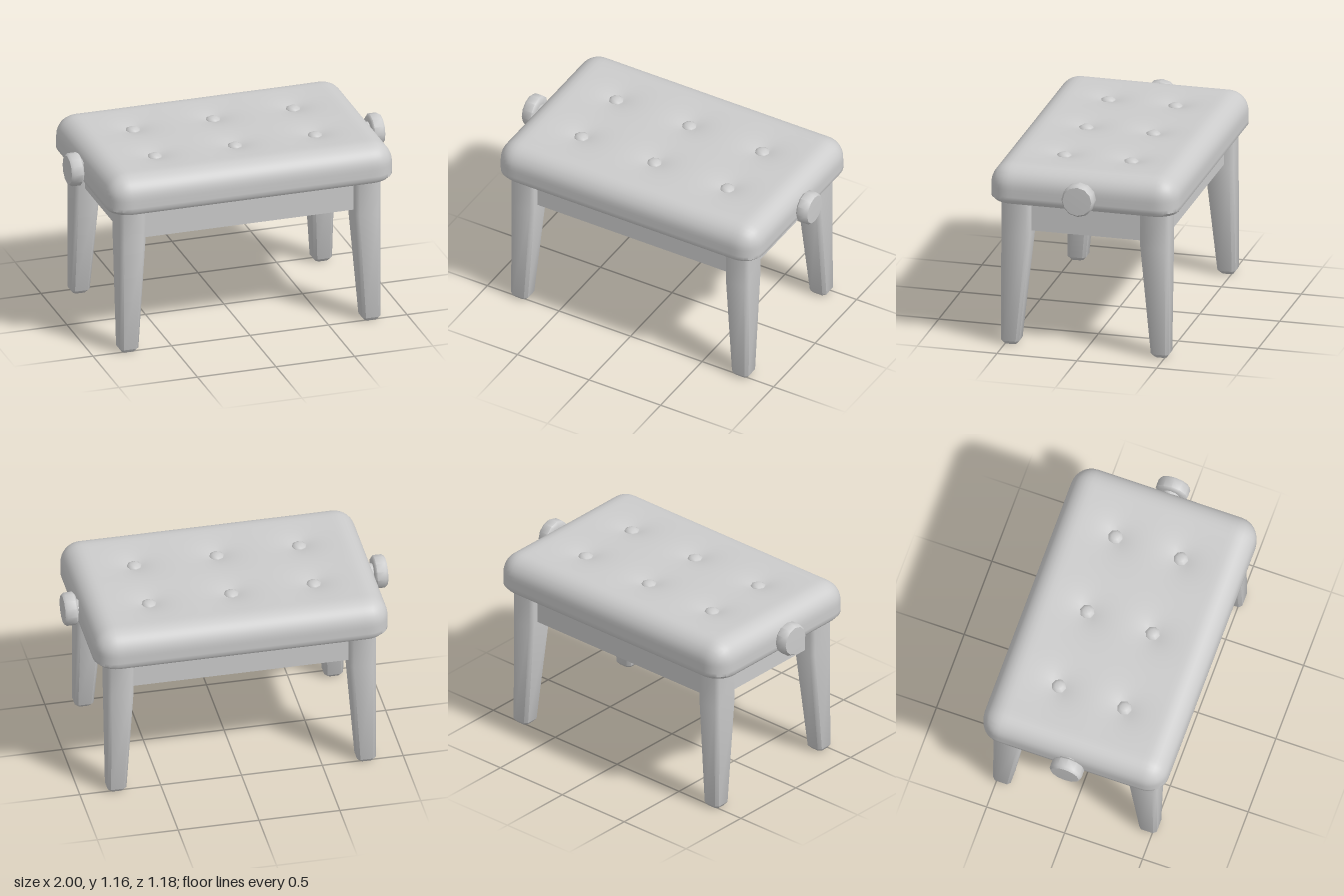
import * as THREE from 'three';
import { mergeVertices, toCreasedNormals } from 'three/addons/utils/BufferGeometryUtils.js';

const material = new THREE.MeshStandardMaterial({ color: 0xcccccc });
const clamp = THREE.MathUtils.clamp;
const TUFTS = [];
for (const x of [-0.51, 0, 0.51]) for (const z of [-0.21, 0.21]) TUFTS.push([x, z]);

function add(group, name, geometry, x = 0, y = 0, z = 0) {
  const mesh = new THREE.Mesh(geometry, material);
  mesh.name = name;
  mesh.position.set(x, y, z);
  group.add(mesh);
  return mesh;
}

// Padded seat: a box whose upper edges and plan corners are rounded, dimpled at each tuft
function cushionGeometry() {
  const hx = 0.91, hz = 0.59, r = 0.13, bottom = 0.93, top = 1.16;
  let geo = new THREE.BoxGeometry(hx * 2, top - bottom, hz * 2, 56, 10, 36);
  geo.translate(0, (top + bottom) / 2, 0);
  geo.deleteAttribute('uv');
  geo.deleteAttribute('normal');
  const p = geo.attributes.position, v = new THREE.Vector3(), core = new THREE.Vector3();
  for (let i = 0; i < p.count; i++) {
    v.fromBufferAttribute(p, i);
    core.set(clamp(v.x, r - hx, hx - r), Math.min(v.y, top - r), clamp(v.z, r - hz, hz - r));
    const d = v.clone().sub(core);
    d.setLength(Math.max(Math.abs(d.x), Math.abs(d.y), Math.abs(d.z)));
    v.copy(core).add(d);
    if (v.y < bottom + 0.01) {
      v.x *= 0.98;
      v.z *= 0.97;
    }
    if (v.y > 1.1) {
      for (const [x, z] of TUFTS) {
        const q = Math.hypot(v.x - x, v.z - z);
        v.y -= 0.045 * Math.exp(-q / 0.09);
      }
    }
    p.setXYZ(i, v.x, v.y, v.z);
  }
  geo = mergeVertices(geo);
  return toCreasedNormals(geo, 0.8);
}

// Chamfered rectangle cross-section
function ring(x0, x1, z0, z1, y, c) {
  return [[x0 + c, z1], [x1 - c, z1], [x1, z1 - c], [x1, z0 + c],
    [x1 - c, z0], [x0 + c, z0], [x0, z0 + c], [x0, z1 - c]].map(([x, z]) => [x, y, z]);
}

// Skin stacked cross-sections from bottom to top and cap both ends
function loft(rings) {
  const n = rings[0].length, index = [];
  for (let j = 0; j < rings.length - 1; j++) {
    for (let i = 0; i < n; i++) {
      const a = j * n + i, b = j * n + (i + 1) % n;
      index.push(a, b, b + n, a, b + n, a + n);
    }
  }
  const last = (rings.length - 1) * n;
  for (let i = 1; i < n - 1; i++) {
    index.push(0, i + 1, i, last, last + i, last + i + 1);
  }
  const geo = new THREE.BufferGeometry();
  geo.setAttribute('position', new THREE.Float32BufferAttribute(rings.flat(2), 3));
  geo.setIndex(index);
  return toCreasedNormals(geo, 0.9);
}

// Leg tapering on its two inner sides, with a bevelled foot
function legGeometry(sx, sz) {
  const section = (innerX, innerZ, y, inset, c) => {
    const xs = [sx * (innerX + inset), sx * (0.83 - inset)].sort((a, b) => a - b);
    const zs = [sz * (innerZ + inset), sz * (0.525 - inset)].sort((a, b) => a - b);
    return ring(...xs, ...zs, y, c);
  };
  return loft([
    section(0.715, 0.415, 0, 0.016, 0.015),
    section(0.713, 0.412, 0.022, 0, 0.018),
    section(0.668, 0.345, 0.7, 0, 0.022),
    section(0.668, 0.345, 0.94, 0, 0.022),
  ]);
}

// Knob and stem turned about the x axis
function knobGeometry(side) {
  const profile = [[0, 0.8], [0.055, 0.8], [0.055, 0.918], [0.088, 0.918], [0.102, 0.93],
    [0.102, 0.982], [0.09, 0.998], [0, 1]].map(([r, h]) => new THREE.Vector2(r, h));
  const geo = new THREE.LatheGeometry(profile, 12);
  geo.rotateZ(-side * Math.PI / 2);
  return toCreasedNormals(geo, 0.9);
}

export function createModel() {
  const model = new THREE.Group();
  model.name = 'adjustableBench';

  add(model, 'cushion', cushionGeometry());

  // Tuft buttons sitting in the dimples
  const button = new THREE.SphereGeometry(0.05, 8, 6);
  button.scale(1, 0.6, 1);
  for (const [x, z] of TUFTS) add(model, 'tuftButton', button, x, 1.122, z);

  // Legs and the diagonal braces in the frame corners
  const brace = new THREE.BoxGeometry(0.2, 0.07, 0.045);
  for (const sx of [-1, 1]) {
    for (const sz of [-1, 1]) {
      add(model, 'leg', legGeometry(sx, sz));
      add(model, 'cornerBrace', brace, sx * 0.655, 0.82, sz * 0.335).rotation.y = sx * sz * Math.PI / 4;
    }
  }

  // Aprons set back from the leg faces
  const longApron = new THREE.BoxGeometry(1.4, 0.21, 0.06);
  const shortApron = new THREE.BoxGeometry(0.06, 0.21, 0.76);
  for (const s of [-1, 1]) {
    add(model, 'longApron', longApron, 0, 0.83, s * 0.44);
    add(model, 'sideApron', shortApron, s * 0.74, 0.83, 0);
    add(model, 'heightKnob', knobGeometry(s), 0, 1.02, 0);
  }

  // Lifting shaft and its rail under the seat
  const shaft = new THREE.CylinderGeometry(0.025, 0.025, 1.42, 12);
  shaft.rotateZ(Math.PI / 2);
  add(model, 'liftShaft', shaft, 0, 0.9, 0);
  add(model, 'liftRail', new THREE.BoxGeometry(1.42, 0.03, 0.1), 0, 0.925, -0.02);

  return model;
}
